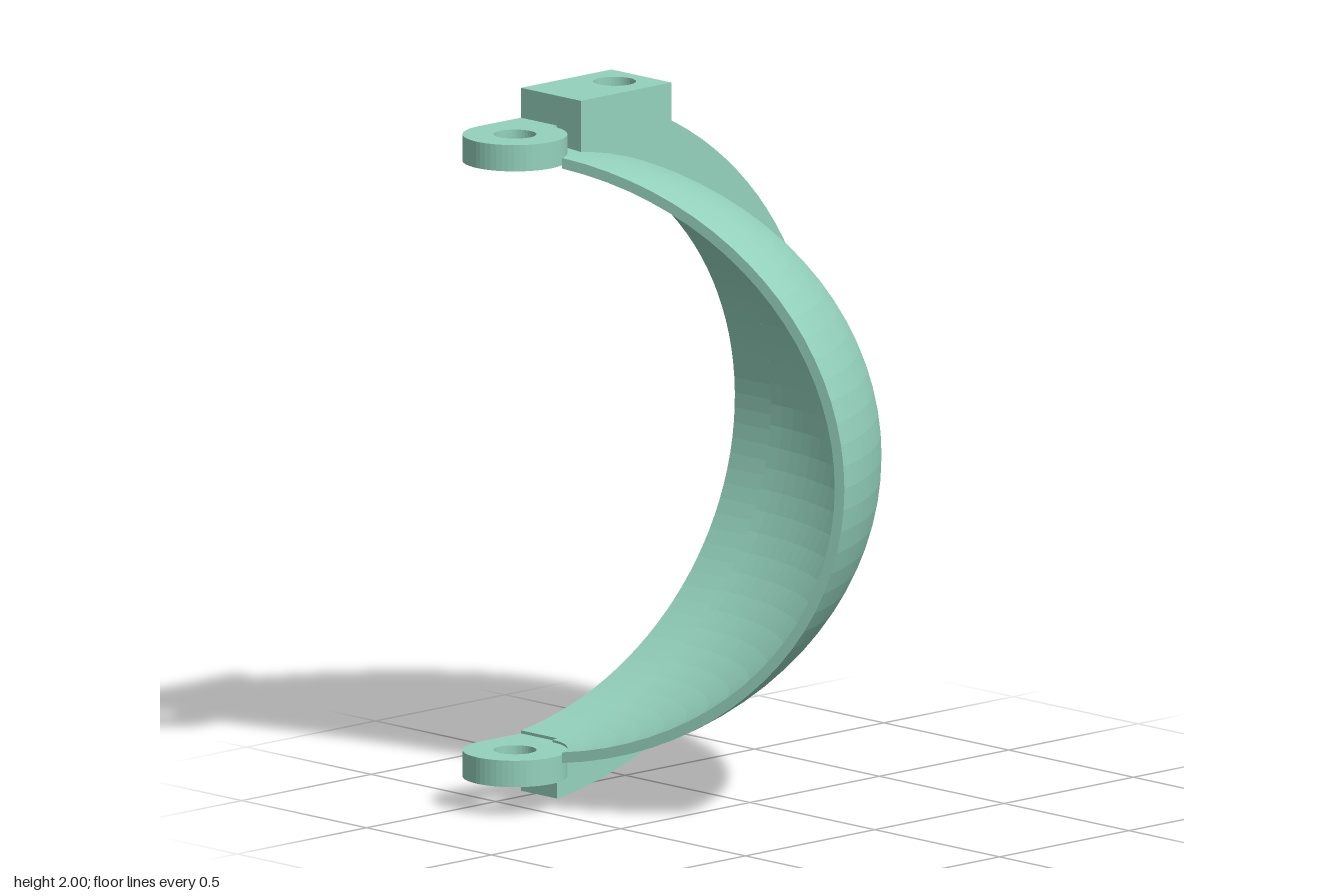
import * as THREE from 'three';

const HX = -0.513, HZ = -0.41;              // hinge axis, also the centre of the dome
const OUTER = [1.02, 0.87], INNER = [0.99, 0.84], RIM = [1.168, 1.01]; // [radius, half height]
const EAR_R = 0.146, HOLE_R = 0.06, BACK = -0.555;

// Dome wall: a swept 70 degree slice of an ellipsoid with real thickness
function domeGeometry(n = 40, cols = 26) {
  const profile = [];
  const arc = ([a, b]) => {
    const t0 = Math.asin(EAR_R / a), pts = [];
    for (let i = 0; i <= n; i++) {
      const t = t0 + (Math.PI - 2 * t0) * i / n;
      pts.push([a * Math.sin(t), b * Math.cos(t)]);
    }
    return pts;
  };
  profile.push(...arc(OUTER), ...arc(INNER).reverse());
  const m = profile.length, pos = [], idx = [], end = Math.PI * 70 / 180;
  for (const [r, y] of profile) {
    // small notch that leaves the bolt hole in the block open
    const inNotch = y > 0 && r > 0.3 && r < 0.515;
    const start = inNotch ? Math.asin(0.09 * Math.sin(Math.PI * (r - 0.3) / 0.215) / r) : 0;
    for (let j = 0; j <= cols; j++) {
      const p = start + (end - start) * j / cols;
      pos.push(HX + r * Math.cos(p), 1 + y, HZ + r * Math.sin(p));
    }
  }
  const at = (i, j) => (i % m) * (cols + 1) + j;
  const quad = (a, b, c, d) => idx.push(a, b, c, a, c, d);
  for (let i = 0; i < m; i++)
    for (let j = 0; j < cols; j++)
      quad(at(i, j), at(i, j + 1), at(i + 1, j + 1), at(i + 1, j));
  for (let k = 0; k < n; k++) {
    const q = [k, m - 1 - k, m - 2 - k, k + 1];
    quad(...q.map(i => at(i, cols)));
    quad(...q.reverse().map(i => at(i, 0)));
  }
  const g = new THREE.BufferGeometry();
  g.setAttribute('position', new THREE.Float32BufferAttribute(pos, 3));
  g.setIndex(idx);
  g.computeVertexNormals();
  return g;
}

// Flat rim behind the dome, from the block round to the lower ear
function rimGeometry() {
  const arc = ([a, b]) => {
    const t0 = Math.acos(-HX / a), t1 = -Math.acos((-0.35 - HX) / a), pts = [];
    for (let i = 0; i <= 48; i++) {
      const t = t0 + (t1 - t0) * i / 48;
      pts.push(new THREE.Vector2(HX + a * Math.cos(t), 1 + b * Math.sin(t)));
    }
    return pts;
  };
  const shape = new THREE.Shape([...arc(RIM), ...arc(INNER).reverse()]);
  const g = new THREE.ExtrudeGeometry(shape, { depth: HZ - BACK, bevelEnabled: false });
  return g.translate(0, 0, BACK);
}

function addHole(shape, x, z) {
  shape.holes.push(new THREE.Path().absarc(x, z, HOLE_R, 0, Math.PI * 2, true));
}

// Plan shape (x, z) extruded downward from y = top
function plate(shape, top, depth) {
  const g = new THREE.ExtrudeGeometry(shape, { depth, bevelEnabled: false, curveSegments: 20 });
  return g.rotateX(Math.PI / 2).translate(0, top, 0);
}

function earGeometry(top) {
  const s = new THREE.Shape();
  s.moveTo(HX + 0.165, HZ);
  s.lineTo(HX + EAR_R, HZ);
  s.absarc(HX, HZ, EAR_R, 0, Math.PI * 1.5, false);
  s.lineTo(HX + 0.165, BACK);
  addHole(s, HX, HZ);
  return plate(s, top, 0.075);
}

// Mounting block whose underside follows the inside of the dome
function blockGeometry() {
  const pts = [], steps = 10, front = -0.315;
  for (let i = 0; i <= steps; i++) pts.push(new THREE.Vector2(-0.35 + 0.35 * i / steps, BACK));
  pts.push(new THREE.Vector2(0, HZ));
  for (let i = steps; i >= 0; i--) pts.push(new THREE.Vector2(-0.35 + 0.35 * i / steps, front));
  pts.push(new THREE.Vector2(-0.35, HZ));
  const s = new THREE.Shape(pts);
  addHole(s, -0.103, -0.436);
  const g = plate(s, 2, 0.2), p = g.attributes.position;
  for (let i = 0; i < p.count; i++) {
    if (p.getY(i) > 1.9) continue;
    const r = Math.hypot(p.getX(i) - HX, Math.max(0, p.getZ(i) - HZ));
    p.setY(i, 1 + INNER[1] * Math.sqrt(1 - (r / INNER[0]) ** 2));
  }
  g.computeVertexNormals();
  return g;
}

export function createModel() {
  const model = new THREE.Group();
  const mint = new THREE.MeshStandardMaterial({ color: 0x94d2bd, flatShading: true });
  mint.name = 'mint';
  const add = (name, geometry) => {
    const mesh = new THREE.Mesh(geometry, mint);
    mesh.name = name;
    model.add(mesh);
  };
  add('domeShell', domeGeometry());
  add('rimFlange', rimGeometry());
  add('upperHingeEar', earGeometry(1.915));
  add('lowerHingeEar', earGeometry(0.163));
  add('mountingBlock', blockGeometry());
  return model;
}
